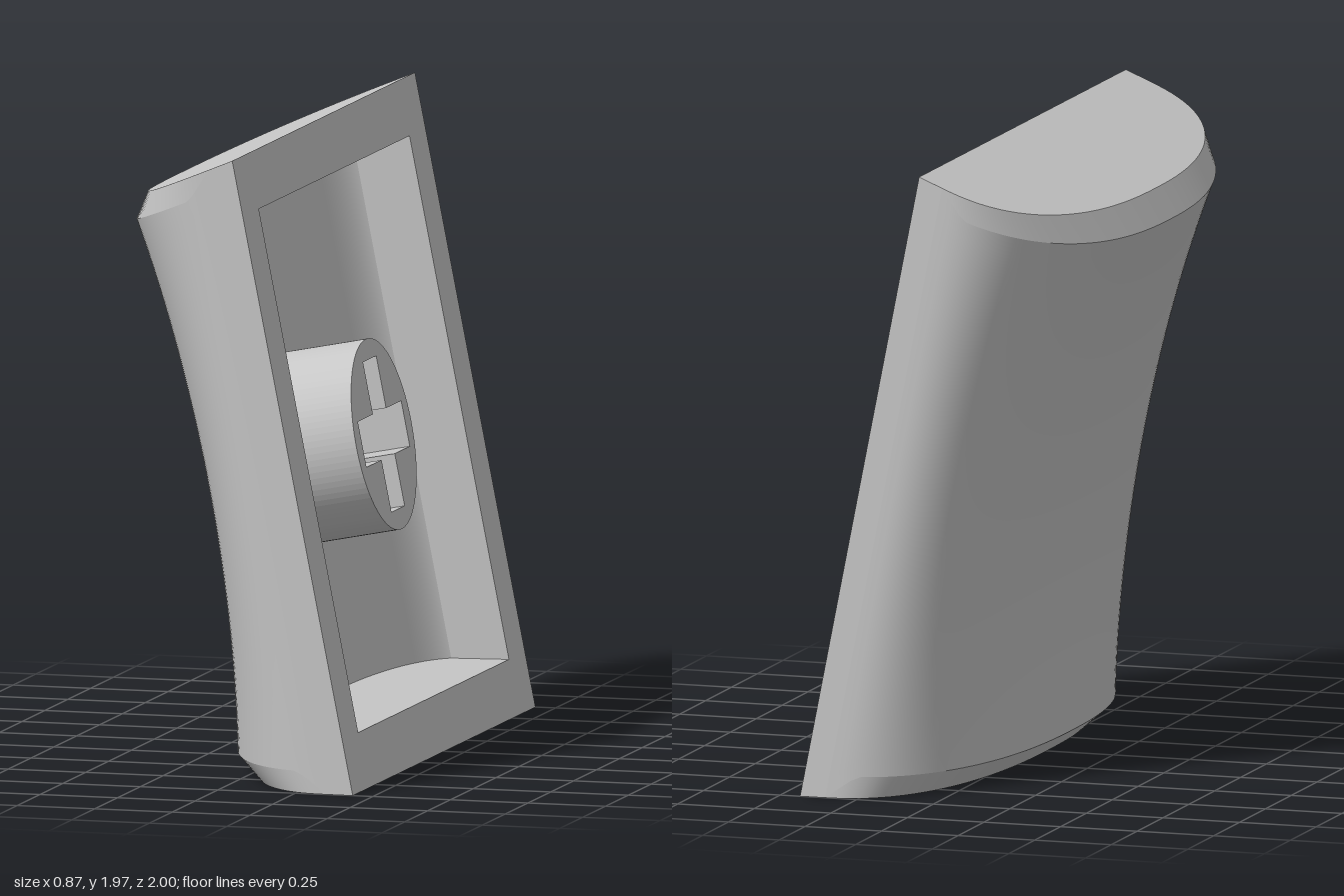
import * as THREE from 'three';
import { ParametricGeometry } from 'three/addons/geometries/ParametricGeometry.js';

// Local frame: x runs up the open face, y is depth away from it, z is width.
const SIZE = 2.006, TAPER = 0.2, EDGE = 0.08, SEG = 64;
const OPEN0 = 0.175, OPEN1 = 1.83, OPENW = 0.825, DEEPW = 0.8;

const v = (x, y, z) => new THREE.Vector3(x, y, z);
const path = (points) => points.map((p) => new THREE.Vector2(...p));

// Superelliptic arch, 1 in the middle and 0 at w = +-1
const arch = (w) => Math.max(0, 1 - Math.abs(w) ** 2.4) ** (1 / 2.4);

export function createModel() {
  const plastic = new THREE.MeshStandardMaterial({ color: 0xc6c6c6 });
  plastic.name = 'light grey plastic';

  const cap = new THREE.Group();
  cap.name = 'keycap';
  cap.rotation.z = Math.PI / 2 + 0.195;
  cap.position.x = 0.435;

  const add = (name, geometry) => {
    const mesh = new THREE.Mesh(geometry, plastic);
    mesh.name = name;
    cap.add(mesh);
  };
  const surface = (name, fn, ns, nt) => {
    const g = new ParametricGeometry((s, t, target) => target.copy(fn(s, t)), ns, nt);
    g.computeVertexNormals();
    add(name, g);
  };
  // ruled surface between two edge curves
  const loft = (name, a, b, ns = SEG) =>
    surface(name, (s, t) => a(s).lerp(b(s), t), ns, 1);

  // Edge curves across the width
  const across = (s) => {
    const w = Math.sin((s - 0.5) * Math.PI);
    return { w, e: arch(w) };
  };
  const base = (s) => v(0, 0, across(s).w);
  const foot = (s) => {
    const { w, e } = across(s), d = EDGE + e * (0.46 - EDGE);
    return v(TAPER * d, d, w);
  };
  const ridge = (s) => {
    const { w, e } = across(s), d = EDGE + e * (0.526 - EDGE);
    return v(TAPER * d + 0.07 * Math.min(1, e / 0.19), d, w);
  };
  const far = (curve) => (s) => {
    const p = curve(s);
    p.x = SIZE - p.x;
    return p;
  };

  // Outer shell: flat ends, chamfers and the dished crown
  loft('lowerEnd', base, foot);
  loft('lowerChamfer', foot, ridge);
  loft('upperChamfer', far(ridge), far(foot));
  loft('upperEnd', far(foot), far(base));
  surface('dishedTop', (s, t) => {
    const { w, e } = across(s), r = ridge(s);
    const dip = 0.084 * (1 - (2 * t - 1) ** 2);
    return v(r.x + t * (SIZE - 2 * r.x), r.y - e * dip, w);
  }, SEG, 32);

  // Flat outer side walls
  const side = (z) => [
    (s) => v(s * SIZE, 0, z),
    (s) => v(TAPER * EDGE + s * (SIZE - 2 * TAPER * EDGE), EDGE, z),
  ];
  const [l0, l1] = side(1), [r0, r1] = side(-1);
  loft('leftWall', l0, l1, 1);
  loft('rightWall', r1, r0, 1);

  // Rim around the opening
  const rim = new THREE.Shape(path([[0, -1], [SIZE, -1], [SIZE, 1], [0, 1]]));
  rim.holes.push(new THREE.Path(path([[OPEN0, -OPENW], [OPEN0, OPENW], [OPEN1, OPENW], [OPEN1, -OPENW]])));
  add('rim', new THREE.ShapeGeometry(rim).rotateX(Math.PI / 2));

  // Hollow: tapered walls and a vaulted ceiling
  const ceil = (end, sign) => (s) => {
    const w = across(s).w * DEEPW, d = 0.114 + 0.201 * arch(w / 0.82);
    return v(end + sign * TAPER * d, d, w);
  };
  const mouth = (end) => (s) => v(end, 0, across(s).w * OPENW);
  const ceil0 = ceil(OPEN0, 1), ceil1 = ceil(OPEN1, -1);
  loft('innerUpperWall', mouth(OPEN1), ceil1);
  loft('innerCeiling', ceil1, ceil0);
  loft('innerLowerWall', ceil0, mouth(OPEN0));
  for (const k of [0, 1]) {
    const deep = (s) => ceil0(k).lerp(ceil1(k), s);
    const open = (s) => mouth(OPEN0)(k).lerp(mouth(OPEN1)(k), s);
    if (k) loft('innerLeftWall', deep, open, 1);
    else loft('innerRightWall', open, deep, 1);
  }

  // Stem with a cross-shaped socket
  const stem = new THREE.Shape().absarc(0, 0, 0.3, 0, Math.PI * 2, false);
  const A = 0.237, T = 0.072;
  stem.holes.push(new THREE.Path(path([
    [A, T], [T, T], [T, A], [-T, A], [-T, T], [-A, T],
    [-A, -T], [-T, -T], [-T, -A], [T, -A], [T, -T], [A, -T],
  ])));
  const stemGeo = new THREE.ExtrudeGeometry(stem, { depth: 0.325, bevelEnabled: false, curveSegments: 48 });
  add('stem', stemGeo.rotateX(-Math.PI / 2).translate(SIZE / 2, 0, 0));

  const model = new THREE.Group();
  model.name = 'model';
  model.add(cap);
  return model;
}
